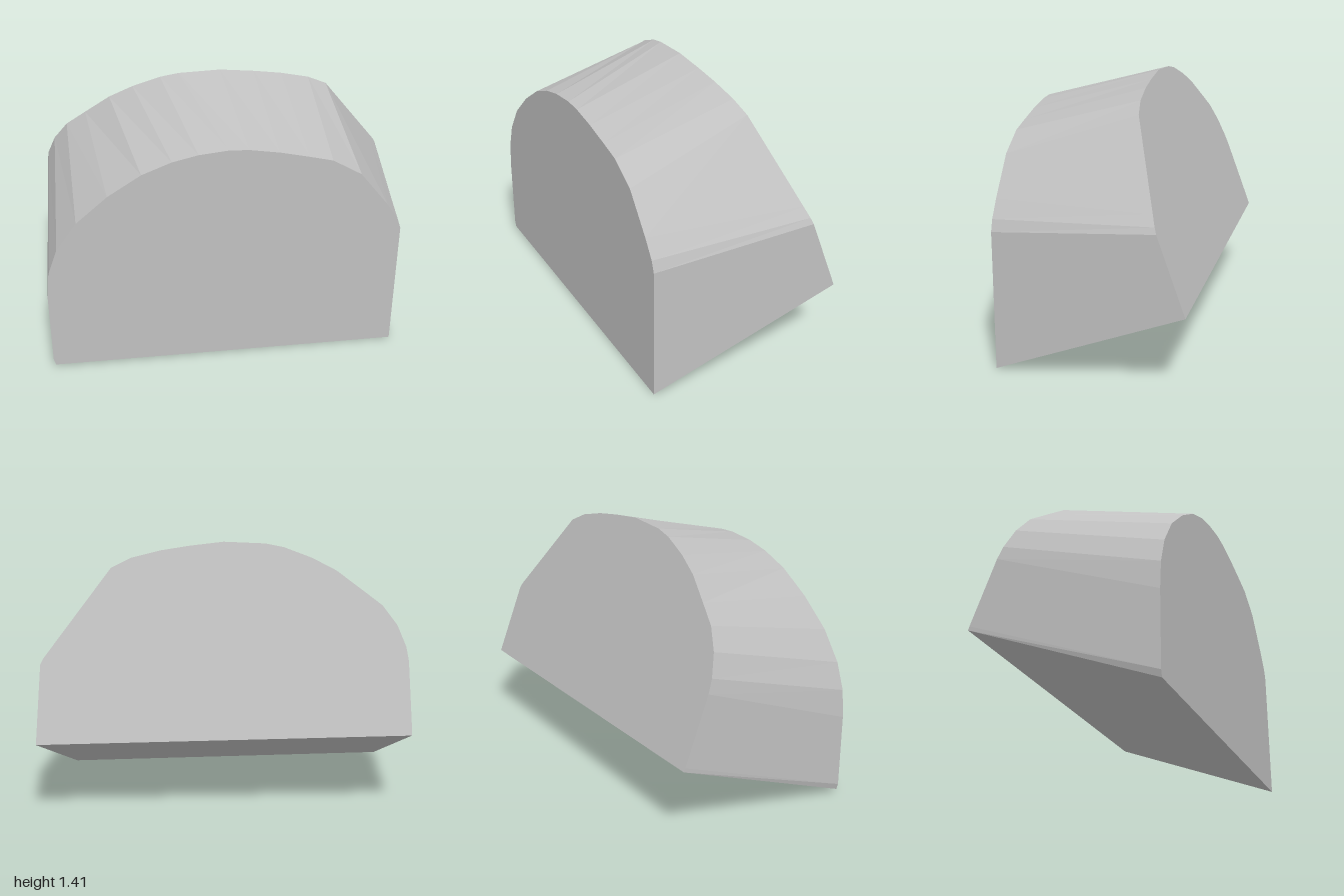
import * as THREE from 'three';

// Matching outline points: front x, front y, back x, back y (counterclockwise from the front)
const OUTLINE = [
  [1, 0, 0.92, 0.41],
  [1, 0.72, 0.928, 0.8],
  [0.98, 0.78, 0.915, 0.83],
  [0.92, 0.87, 0.88, 0.88],
  [0.77, 1.06, 0.6, 1.28],
  [0.62, 1.15, 0.5, 1.33],
  [0.5, 1.18, 0.35, 1.367],
  [0.35, 1.215, 0.2, 1.39],
  [0.2, 1.24, 0.02, 1.41],
  [0.1, 1.245, -0.2, 1.4],
  [-0.05, 1.23, -0.3, 1.38],
  [-0.18, 1.2, -0.45, 1.325],
  [-0.33, 1.14, -0.58, 1.26],
  [-0.5, 1.03, -0.72, 1.16],
  [-0.66, 0.89, -0.83, 1.08],
  [-0.765, 0.74, -0.91, 0.98],
  [-0.815, 0.6, -0.96, 0.87],
  [-0.83, 0.45, -0.975, 0.8],
  [-0.83, 0.05, -1, 0.45],
  [-0.82, 0.015, -1, 0.43],
];

// The front face is an upright slanted plane; the back face also leans forward
const frontPoint = ([x, y]) => [x, y, 0.675 - 0.2 * (x + 0.82)];
const backPoint = ([, , x, y]) => [x, y, -0.33 - 0.182 * (x + 1) + 0.38 * (y - 0.42)];

function makeMesh(name, triangles, material) {
  const geometry = new THREE.BufferGeometry();
  geometry.setAttribute('position', new THREE.Float32BufferAttribute(triangles.flat(), 3));
  geometry.computeVertexNormals();
  const mesh = new THREE.Mesh(geometry, material);
  mesh.name = name;
  return mesh;
}

export function createModel() {
  const group = new THREE.Group();
  group.name = 'archedBlock';
  const grey = new THREE.MeshStandardMaterial({ color: 0xc0c0c0 });
  grey.name = 'light grey';

  const front = OUTLINE.map(frontPoint);
  const back = OUTLINE.map(backPoint);
  const n = OUTLINE.length;
  const frontFace = [], backFace = [], shell = [], base = [];

  for (let i = 0; i < n; i++) {
    const j = (i + 1) % n;
    // Ruled strip joining both outlines; the last one closes the underside
    const strip = j === 0 ? base : shell;
    strip.push(front[i], back[i], back[j], front[i], back[j], front[j]);
    // End caps as fans
    if (i > 0 && j > 0) {
      frontFace.push(front[0], front[i], front[j]);
      backFace.push(back[0], back[j], back[i]);
    }
  }

  group.add(
    makeMesh('frontFace', frontFace, grey),
    makeMesh('backFace', backFace, grey),
    makeMesh('archedShell', shell, grey),
    makeMesh('base', base, grey),
  );
  return group;
}
